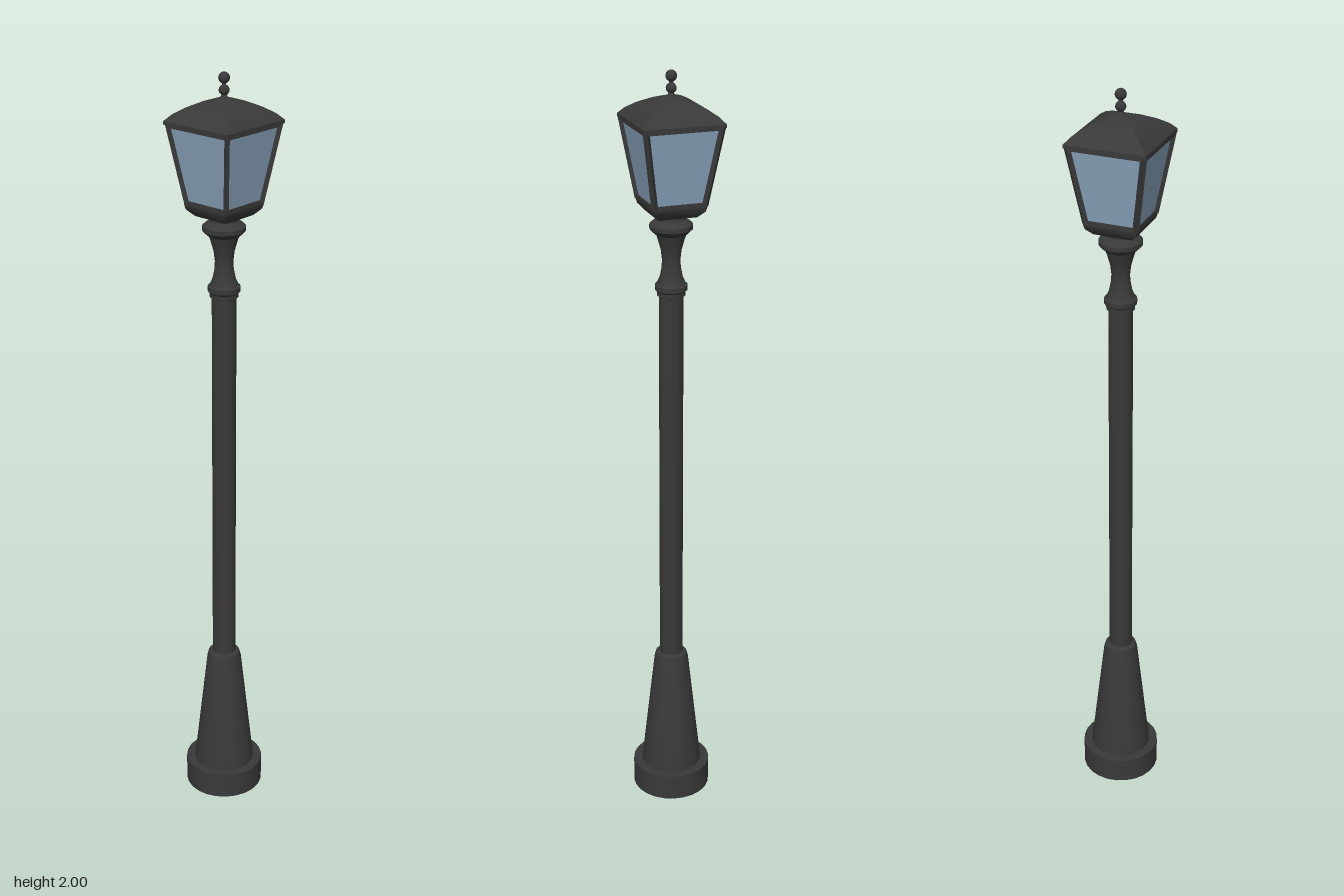
import * as THREE from 'three';
import { toCreasedNormals } from 'three/addons/utils/BufferGeometryUtils.js';

export function createModel() {
  const model = new THREE.Group();
  const iron = new THREE.MeshStandardMaterial({ name: 'dark iron', color: 0x393939 });
  const glass = new THREE.MeshStandardMaterial({ name: 'blue glass', color: 0x8ca6bf });

  const add = (name, geometry, material = iron, parent = model) => {
    const mesh = new THREE.Mesh(geometry, material);
    mesh.name = name;
    parent.add(mesh);
    return mesh;
  };
  // keeps hard edges; works at a larger scale so close vertices stay distinct
  const crease = (g, angle) => toCreasedNormals(g.scale(100, 100, 100), angle).scale(0.01, 0.01, 0.01);
  const points = (profile, k = 1) => profile.map(([r, y]) => new THREE.Vector2(r * k, y));
  const turned = (profile) => crease(new THREE.LatheGeometry(points(profile), 24), 0.6);
  // square section: profile gives the half width
  const square = (profile, angle = 0.4) =>
    crease(new THREE.LatheGeometry(points(profile, Math.SQRT2), 4, Math.PI / 4), angle);

  // Foot, tapered pedestal and pole
  add('foot', turned([[0, 0], [0.105, 0], [0.105, 0.072], [0, 0.072]]));
  add('pedestal', turned([[0.082, 0.07], [0.046, 0.40], [0.042, 0.415], [0.03, 0.42]]));
  add('pole', turned([[0.031, 0.41], [0.031, 1.45]]));

  // Turned neck under the lantern
  add('collar', turned([[0.03, 1.44], [0.036, 1.443], [0.036, 1.453], [0.041, 1.458], [0.041, 1.47], [0.033, 1.475]]));
  add('neck', turned([[0.037, 1.472], [0.029, 1.49], [0.024, 1.515], [0.023, 1.535], [0.026, 1.56], [0.033, 1.585], [0.038, 1.6]]));
  add('neckRing', turned([[0.034, 1.598], [0.042, 1.602], [0.054, 1.614], [0.054, 1.625], [0.046, 1.632], [0.035, 1.638], [0.032, 1.66], [0, 1.66]]));

  // Lantern tray, panes, frame and roof
  const lantern = new THREE.Group();
  lantern.name = 'lantern';
  model.add(lantern);
  add('tray', square([[0, 1.65], [0.05, 1.65], [0.066, 1.667], [0.069, 1.68], [0, 1.68]], 0.8), iron, lantern);
  const low = 1.68, high = 1.88, lowHalf = 0.069, highHalf = 0.101;
  add('panes', square([[lowHalf - 0.005, low], [highHalf - 0.005, high]]), glass, lantern);

  // straight bar between two points
  const bar = (name, a, b, width) => {
    const mesh = add(name, new THREE.BoxGeometry(width, width, a.distanceTo(b)), iron, lantern);
    mesh.position.copy(a).add(b).multiplyScalar(0.5);
    mesh.lookAt(b);
  };
  const corner = (i, half, y) => {
    const a = Math.PI / 4 + i * Math.PI / 2;
    return new THREE.Vector3(Math.cos(a) * half * Math.SQRT2, y, Math.sin(a) * half * Math.SQRT2);
  };
  for (let i = 0; i < 4; i++) {
    bar('cornerPost', corner(i, lowHalf - 0.005, low), corner(i, highHalf - 0.005, high), 0.012);
    bar('bottomRail', corner(i, lowHalf - 0.005, low + 0.004), corner(i + 1, lowHalf - 0.005, low + 0.004), 0.011);
    bar('topRail', corner(i, highHalf - 0.005, high - 0.004), corner(i + 1, highHalf - 0.005, high - 0.004), 0.012);
  }
  add('roof', square([[0, 1.876], [0.103, 1.876], [0.103, 1.884], [0.088, 1.9], [0.065, 1.916], [0.035, 1.931], [0.012, 1.939], [0, 1.94]], 0.6), iron, lantern);

  // Finial: stem with two beads
  add('finialStem', turned([[0.015, 1.932], [0.008, 1.942], [0.005, 1.95], [0.005, 1.985]]));
  [[0.013, 1.957], [0.014, 1.986]].forEach(([r, y]) =>
    add('finialBead', new THREE.SphereGeometry(r, 16, 12)).position.set(0, y, 0));

  return model;
}
